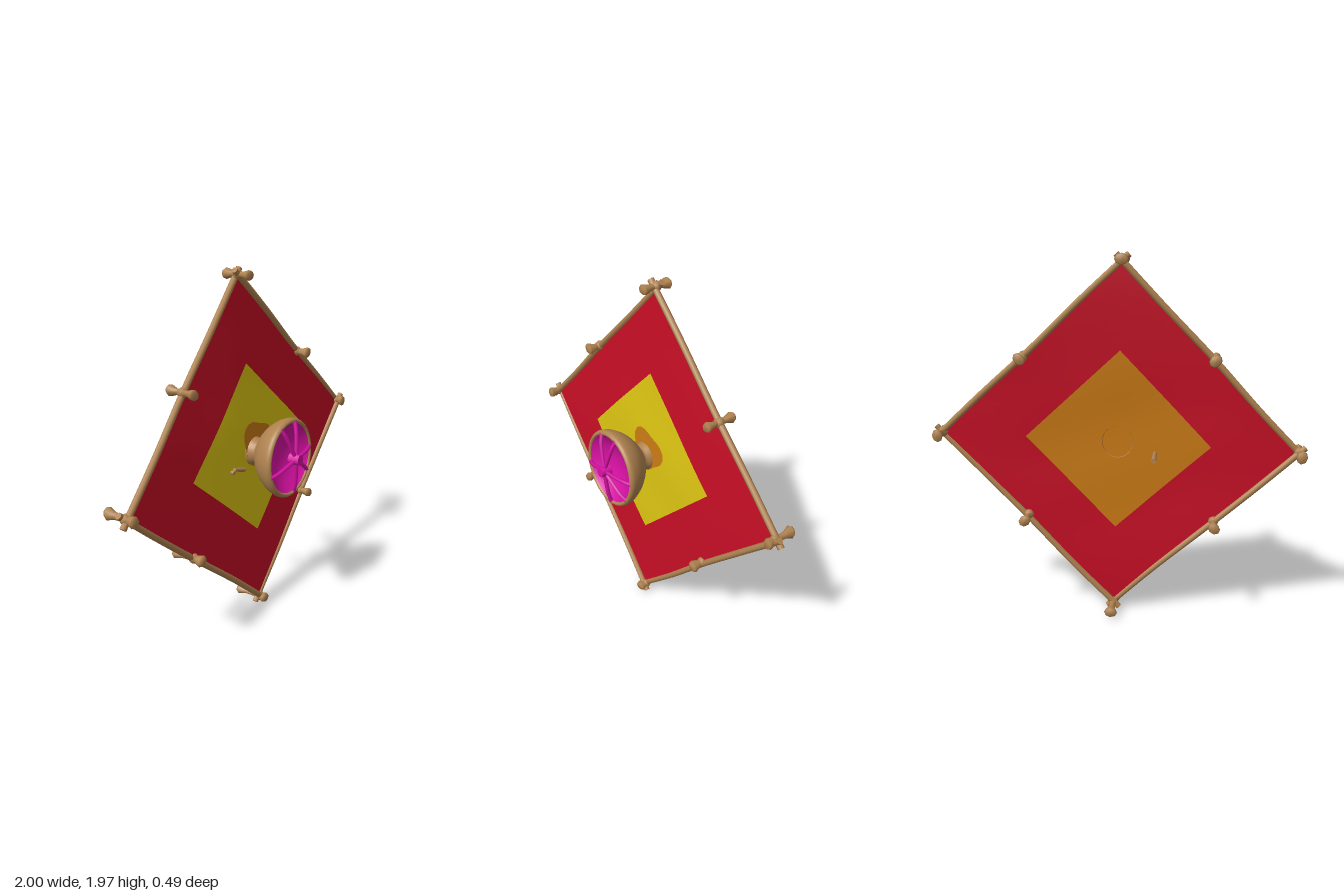
import * as THREE from 'three';

const mat = (name, color) => {
  const m = new THREE.MeshStandardMaterial({ color, side: THREE.DoubleSide });
  m.name = name;
  return m;
};
const V = (x, y, z) => new THREE.Vector3(x, y, z);

export function createModel() {
  const wood = mat('tan wood', 0xb08350);
  const red = mat('red cloth', 0xc60e25);
  const yellow = mat('yellow cloth', 0xdcc412);
  const orange = mat('orange cloth', 0xca7a14);
  const magenta = mat('magenta cloth', 0xd911a4);

  const root = new THREE.Group();
  root.name = 'kiteShield';
  const add = (name, geo, material, parent = root) => {
    const m = new THREE.Mesh(geo, material);
    m.name = name;
    parent.add(m);
    return m;
  };

  // The whole frame leans back slightly
  const planeZ = (y) => -0.042 - 0.049 * y;
  const corner = (x, y) => V(x, y, planeZ(y));
  const top = corner(-0.03, 1.925), right = corner(0.955, 1.02);
  const bottom = corner(0.03, 0.045), left = corner(-0.955, 0.94);

  // Stretched cloth: bilinear patch with a soft forward bulge and wrinkles
  const clothPoint = (u, v) => {
    const p = top.clone().lerp(right, u).lerp(left.clone().lerp(bottom, u), v);
    const bulge = Math.sin(Math.PI * u) * Math.sin(Math.PI * v);
    p.z += bulge * (0.022 + 0.005 * Math.sin(9 * u + 4 * v) * Math.sin(11 * v - 3 * u));
    return p;
  };
  const cloth = (a, b, offset) => {
    const g = new THREE.PlaneGeometry(1, 1, 24, 24);
    const pos = g.attributes.position;
    for (let i = 0; i < pos.count; i++) {
      const u = a + (b - a) * (pos.getX(i) + 0.5);
      const v = a + (b - a) * (0.5 - pos.getY(i));
      const p = clothPoint(u, v);
      pos.setXYZ(i, p.x, p.y, p.z + offset);
    }
    g.computeVertexNormals();
    return g;
  };
  add('redCloth', cloth(0, 1, 0), red);
  add('yellowPanel', cloth(0.24, 0.76, 0.008), yellow);
  add('orangeBackPanel', cloth(0.24, 0.76, -0.008), orange);

  // Orange patch showing around the neck
  const patch = new THREE.CircleGeometry(0.12, 24);
  const pp = patch.attributes.position;
  for (let i = 1; i < pp.count; i++) {
    const k = 1 + 0.15 * Math.sin(3 * Math.atan2(pp.getY(i), pp.getX(i)) + 1);
    pp.setXYZ(i, pp.getX(i) * k, pp.getY(i) * k, 0);
  }
  const patchMesh = add('neckPatch', patch, orange);
  patchMesh.position.set(0.02, 1.03, -0.052);
  patchMesh.rotation.x = -0.049;

  // Slightly crooked poles that cross at the corners
  const pole = (a, b, dz, i) => {
    const dir = b.clone().sub(a).normalize();
    const p0 = a.clone().addScaledVector(dir, -0.045);
    const p1 = b.clone().addScaledVector(dir, 0.045);
    const side = V(-dir.y, dir.x, 0);
    const pts = [0, 0.25, 0.5, 0.75, 1].map((t, k) => {
      const p = p0.clone().lerp(p1, t);
      p.z += dz * (1 - 2 * t);
      return p.addScaledVector(side, 0.004 * Math.sin(k * 2.3 + i));
    });
    add('framePole', new THREE.TubeGeometry(new THREE.CatmullRomCurve3(pts), 16, 0.017, 8), wood);
    pts.filter((_, k) => k % 4 === 0).forEach((p, k) => {
      const cap = add('poleEnd', new THREE.CircleGeometry(0.017, 8), wood);
      cap.position.copy(p);
      cap.lookAt(p.clone().addScaledVector(dir, k ? 1 : -1));
    });
  };
  const ring = [top, right, bottom, left];
  ring.forEach((c, i) => pole(c, ring[(i + 1) % 4], 0.01, i));

  // Flared pegs lashed to every corner and pole middle: x, y, front z, back z
  const peg = (x, y, z0, z1, i) => {
    const h = (z0 - z1) / 2;
    const profile = [[0, -1], [0.028, -0.98], [0.036, -0.85], [0.02, -0.4], [0.017, 0],
      [0.02, 0.45], [0.033, 0.85], [0.027, 0.98], [0, 1]];
    const g = new THREE.LatheGeometry(profile.map(([r, t]) => new THREE.Vector2(r, t * h)), 8);
    g.rotateX(Math.PI / 2);
    const group = new THREE.Group();
    group.name = 'lashedPeg';
    group.position.set(x, y, (z0 + z1) / 2);
    group.rotation.z = i * 0.8;
    add('pegBody', g, wood, group).scale.set(1, 0.82, 1);
    root.add(group);
    // knot binding the peg to its pole
    const knot = add('knot', new THREE.SphereGeometry(0.028, 8, 6), wood);
    knot.position.set(x, y, planeZ(y));
  };
  [[-0.03, 1.93, -0.05, -0.215], [0.5, 1.43, -0.03, -0.2], [0.95, 1.02, -0.04, -0.205],
    [0.495, 0.555, 0.005, -0.2], [0.03, 0.04, 0.005, -0.2], [-0.52, 0.545, 0, -0.2],
    [-0.955, 0.945, -0.02, -0.21], [-0.505, 1.43, -0.03, -0.2],
  ].forEach((p, i) => peg(...p, i));

  // Small pin pushed through the cloth
  const pin = add('throughPin', new THREE.CylinderGeometry(0.011, 0.014, 0.2, 8), wood);
  pin.rotation.x = Math.PI / 2;
  pin.position.set(-0.2, 0.92, -0.142);
  const pinHead = add('pinHead', new THREE.CylinderGeometry(0.01, 0.013, 0.09, 8), wood);
  pinHead.rotation.z = 1.25;
  pinHead.position.set(-0.165, 0.93, -0.035);

  // Central bowl on its neck, axis towards the front
  const boss = new THREE.Group();
  boss.name = 'boss';
  boss.position.set(0, 0.985, 0);
  boss.rotation.x = -0.04;
  boss.scale.set(0.98, 1.035, 1);
  root.add(boss);
  const lathe = (pts) => {
    const curve = new THREE.SplineCurve(pts.map(([r, z]) => new THREE.Vector2(r, z)));
    return new THREE.LatheGeometry(curve.getPoints(30), 32).rotateX(Math.PI / 2);
  };
  add('bowl', lathe([[0.085, -0.085], [0.075, -0.045], [0.064, -0.012], [0.083, 0.003], [0.125, 0.032],
    [0.168, 0.075], [0.197, 0.12], [0.21, 0.16], [0.208, 0.18], [0.197, 0.19], [0.186, 0.184], [0.18, 0.165]]),
  wood, boss);
  add('dish', lathe([[0, 0.11], [0.06, 0.117], [0.12, 0.138], [0.165, 0.165], [0.192, 0.188]]), magenta, boss);

  // Ribs bowing from the rim to the hub
  [115, 76, 3, -35, -83, 195].forEach((deg) => {
    const a = deg * Math.PI / 180, c = Math.cos(a), s = Math.sin(a);
    const pts = [[0.198, 0.18], [0.15, 0.197], [0.08, 0.208], [0.01, 0.216]].map(([r, z]) => V(r * c, r * s, z));
    add('rib', new THREE.TubeGeometry(new THREE.CatmullRomCurve3(pts), 10, 0.011, 6), magenta, boss);
  });
  const hub = add('hub', new THREE.CylinderGeometry(0.027, 0.032, 0.06, 10), magenta, boss);
  hub.rotation.x = Math.PI / 2;
  hub.position.z = 0.214;

  return root;
}
